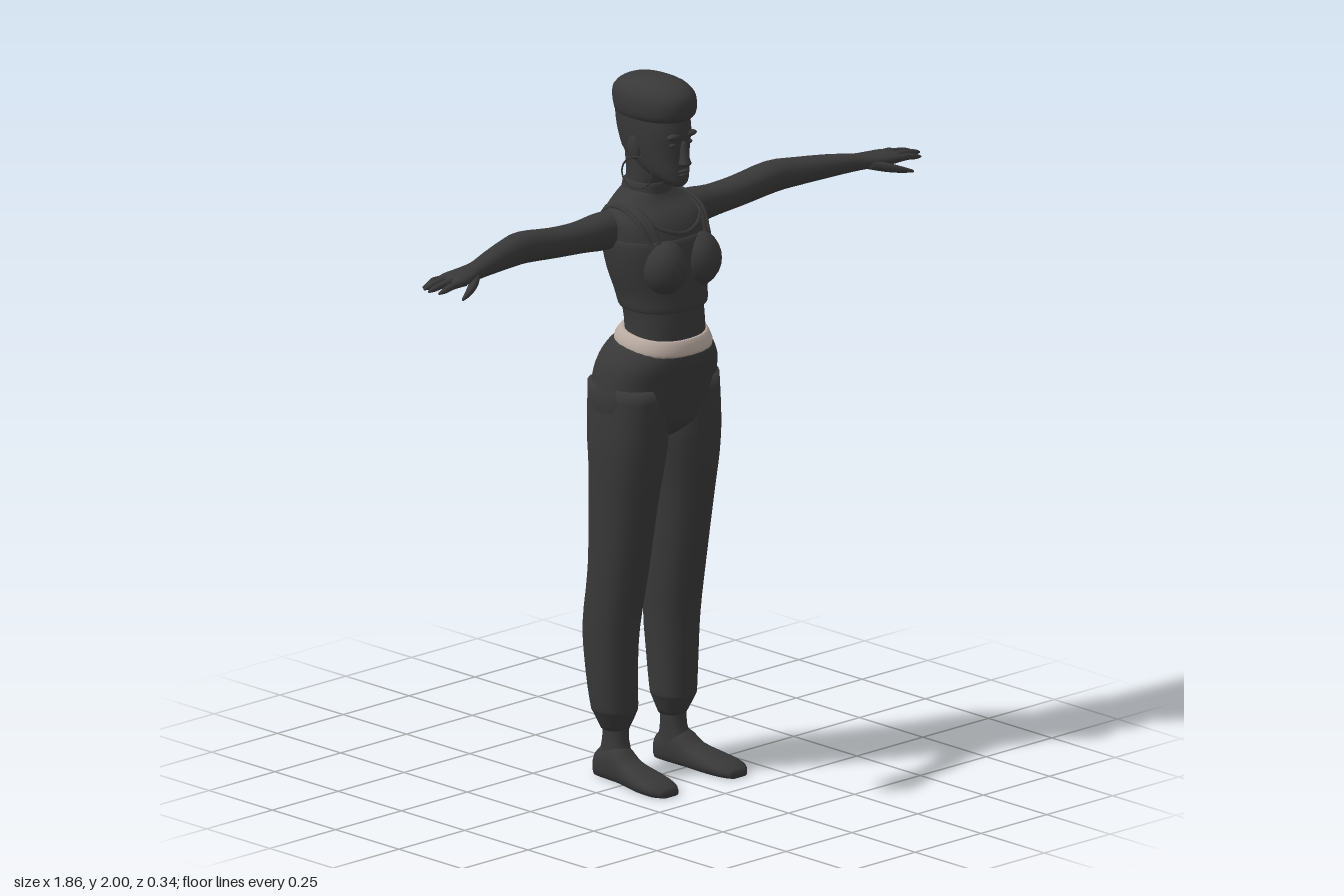
import * as THREE from 'three';

const dark = new THREE.MeshStandardMaterial({ color: 0x383838 });
dark.name = 'charcoal';
const pale = new THREE.MeshStandardMaterial({ color: 0xb9aaa1 });
pale.name = 'pale belt';

const N = 2.3; // roundness of the cross-sections
const sPow = (v) => Math.sign(v) * Math.abs(v) ** (2 / N);

// Smooth in-between rows through the given key rows
function resample(rows, steps) {
  const out = [];
  const at = (i) => rows[Math.min(rows.length - 1, Math.max(0, i))];
  for (let i = 0; i < rows.length - 1; i++) {
    for (let s = 0; s < steps; s++) {
      const t = s / steps;
      out.push(rows[i].map((b, k) => {
        const a = at(i - 1)[k], c = at(i + 1)[k], d = at(i + 2)[k];
        return b + 0.5 * t * (c - a + t * (2 * a - 5 * b + 4 * c - d + t * (3 * (b - c) + d - a)));
      }));
    }
  }
  out.push(rows[rows.length - 1]);
  return out;
}

// Closed skin over rings; ring(row, cos, sin) gives one point
function loft(name, rows, ring, { mat = dark, sides = 20, steps = 3 } = {}) {
  const all = resample(rows, steps), pos = [], idx = [];
  for (const r of all) {
    for (let j = 0; j < sides; j++) {
      const a = (j / sides) * Math.PI * 2;
      pos.push(...ring(r, sPow(Math.cos(a)), sPow(Math.sin(a))));
    }
  }
  const first = pos.length / 3, last = first + 1, end = (all.length - 1) * sides;
  pos.push(...ring(all[0], 0, 0), ...ring(all[all.length - 1], 0, 0));
  for (let j = 0; j < sides; j++) {
    const k = (j + 1) % sides;
    for (let i = 0; i < end; i += sides) {
      idx.push(i + j, i + sides + j, i + k, i + k, i + sides + j, i + sides + k);
    }
    idx.push(first, j, k, last, end + k, end + j);
  }
  // Turn the faces outward whatever the loft direction
  const p = (i) => new THREE.Vector3().fromArray(pos, i * 3);
  let vol = 0;
  for (let i = 0; i < idx.length; i += 3) vol += p(idx[i]).dot(p(idx[i + 1]).cross(p(idx[i + 2])));
  if (vol < 0) idx.reverse();
  const g = new THREE.BufferGeometry();
  g.setAttribute('position', new THREE.Float32BufferAttribute(pos, 3));
  g.setIndex(idx);
  g.computeVertexNormals();
  const m = new THREE.Mesh(g, mat);
  m.name = name;
  return m;
}

// Upright body ring: [y, rx, zFront, zBack, tilt]
const bodyRing = ([y, rx, zf, zb, tilt = 0], c, s) => {
  const z = (zf + zb) / 2 + (s * (zf - zb)) / 2;
  return [rx * c, y - tilt * z, z];
};
// Leg ring: [y, centreX, rx, zFront, zBack]
const legRing = (sx) => ([y, cx, rx, zf, zb], c, s) => [sx * (cx + rx * c), y, (zf + zb) / 2 + (s * (zf - zb)) / 2];
// Arm ring: [x, y, z, ry, rz]
const armRing = (sx) => ([x, y, z, ry, rz], c, s) => [sx * x, y + ry * c, z + rz * s];
// Foot ring: [z, centreX, halfWidth, height]
const footRing = (sx) => ([z, cx, w, h], c, s) => [sx * (cx + w * c), Math.max(0, h * (0.42 + 0.58 * s)), z];

const TORSO = [
  [1.24, 0.118, 0.108, -0.09], [1.3, 0.114, 0.107, -0.086], [1.37, 0.117, 0.1, -0.1],
  [1.45, 0.14, 0.1, -0.13], [1.52, 0.153, 0.1, -0.143], [1.58, 0.155, 0.085, -0.145],
  [1.62, 0.145, 0.06, -0.142], [1.65, 0.105, 0.02, -0.135], [1.68, 0.058, 0, -0.125],
];

// Point on the torso skin, in front (side 1) or behind (side -1)
function onTorso(x, y, side) {
  const i = Math.max(0, TORSO.findIndex((r) => r[0] > y) - 1);
  const t = (y - TORSO[i][0]) / (TORSO[i + 1][0] - TORSO[i][0]);
  const [, rx, zf, zb] = TORSO[i].map((v, k) => v + t * (TORSO[i + 1][k] - v));
  const d = Math.max(0, 1 - Math.abs(x / rx) ** N) ** (1 / N);
  return new THREE.Vector3(x, y, (zf + zb) / 2 + side * ((zf - zb) / 2) * d + side * 0.002);
}

function tube(name, pts, r) {
  const m = new THREE.Mesh(new THREE.TubeGeometry(new THREE.CatmullRomCurve3(pts), 24, r, 6), dark);
  m.name = name;
  return m;
}

function blob(name, x, y, z, rx, ry, rz) {
  const m = new THREE.Mesh(new THREE.SphereGeometry(1, 16, 12), dark);
  m.position.set(x, y, z);
  m.scale.set(rx, ry, rz);
  m.name = name;
  return m;
}

function buildHead() {
  const g = new THREE.Group();
  g.name = 'head';
  g.add(
    loft('neck', [[1.63, 0.062, 0, -0.128], [1.68, 0.056, -0.005, -0.122], [1.72, 0.054, 0.01, -0.118], [1.79, 0.055, 0.01, -0.125]], bodyRing),
    loft('collar', [[1.645, 0.07, 0.01, -0.135], [1.66, 0.066, 0.008, -0.132], [1.695, 0.06, 0.006, -0.126], [1.7, 0.052, 0, -0.12]], bodyRing),
    loft('face', [[1.703, 0.018, 0.078, 0.03], [1.715, 0.035, 0.086, 0.005], [1.74, 0.053, 0.086, -0.06], [1.78, 0.065, 0.083, -0.125],
      [1.82, 0.071, 0.084, -0.145], [1.86, 0.074, 0.088, -0.155], [1.91, 0.074, 0.08, -0.16]], bodyRing, { sides: 24 }),
    loft('hair', [[1.885, 0.072, 0.075, -0.155], [1.9, 0.081, 0.098, -0.161], [1.93, 0.085, 0.106, -0.165], [1.96, 0.081, 0.1, -0.16],
      [1.985, 0.062, 0.07, -0.13], [1.997, 0.035, 0.02, -0.09], [2, 0.01, -0.02, -0.05]], bodyRing, { sides: 24 }),
    loft('nose', [[1.762, 0.008, 0.09, 0.07], [1.77, 0.017, 0.108, 0.07], [1.785, 0.013, 0.105, 0.07], [1.835, 0.008, 0.091, 0.07]], bodyRing, { sides: 10 }),
    blob('upperLip', 0, 1.748, 0.085, 0.02, 0.006, 0.008),
    blob('lowerLip', 0, 1.738, 0.084, 0.017, 0.006, 0.008),
  );
  for (const sx of [1, -1]) {
    g.add(blob('brow', sx * 0.03, 1.85, 0.078, 0.025, 0.009, 0.012));
    g.add(blob('eye', sx * 0.029, 1.825, 0.073, 0.014, 0.007, 0.008));
    const ear = blob('ear', sx * 0.073, 1.805, -0.035, 0.009, 0.034, 0.02);
    ear.rotation.set(-0.15, sx * -0.3, 0);
    g.add(ear);
    const hoop = new THREE.Mesh(new THREE.TorusGeometry(0.045, 0.0025, 6, 28), dark);
    hoop.position.set(sx * 0.077, 1.737, -0.02);
    hoop.rotation.y = sx * 1.2;
    hoop.name = 'earring';
    g.add(hoop);
  }
  return g;
}

function buildArm(sx) {
  const g = new THREE.Group();
  g.name = sx > 0 ? 'leftArm' : 'rightArm';
  g.add(loft('arm', [
    [0.09, 1.575, -0.07, 0.05, 0.055], [0.17, 1.577, -0.068, 0.051, 0.052], [0.25, 1.578, -0.067, 0.043, 0.047],
    [0.35, 1.585, -0.064, 0.041, 0.047], [0.47, 1.599, -0.06, 0.043, 0.046], [0.55, 1.602, -0.04, 0.038, 0.042],
    [0.65, 1.605, -0.006, 0.03, 0.036], [0.72, 1.603, 0.014, 0.023, 0.031], [0.77, 1.602, 0.024, 0.02, 0.04],
    [0.82, 1.602, 0.03, 0.016, 0.046], [0.85, 1.601, 0.031, 0.01, 0.042],
  ], armRing(sx)));
  // Little finger to index finger
  [[-0.004, 0.905], [0.02, 0.925], [0.045, 0.932], [0.068, 0.915]].forEach(([z, tip], i) => {
    const y = 1.604 - Math.abs(i - 1.5) * 0.004;
    g.add(loft('finger', [[0.81, y, z * 0.9 + 0.002, 0.01, 0.01], [0.86, y + 0.002, z, 0.01, 0.01],
      [tip - 0.02, y - 0.004, z + 0.002, 0.008, 0.008], [tip, y - 0.008, z + 0.002, 0.003, 0.003]], armRing(sx), { sides: 8 }));
  });
  g.add(loft('thumb', [[0.74, 1.598, 0.035, 0.014, 0.016], [0.78, 1.588, 0.066, 0.014, 0.016],
    [0.82, 1.577, 0.088, 0.01, 0.011], [0.855, 1.568, 0.102, 0.004, 0.004]], armRing(sx), { sides: 10 }));
  return g;
}

function buildLeg(sx) {
  const g = new THREE.Group();
  g.name = sx > 0 ? 'leftLeg' : 'rightLeg';
  g.add(loft('trouserLeg', [
    [1.14, 0.1, 0.088, 0.085, -0.152], [1, 0.1, 0.098, 0.086, -0.149], [0.9, 0.105, 0.092, 0.076, -0.14],
    [0.8, 0.108, 0.083, 0.06, -0.14], [0.6, 0.11, 0.075, 0.028, -0.145], [0.43, 0.115, 0.07, 0, -0.163],
    [0.3, 0.115, 0.067, -0.008, -0.15], [0.21, 0.112, 0.064, -0.01, -0.134], [0.19, 0.111, 0.058, -0.012, -0.13],
    [0.14, 0.108, 0.035, -0.034, -0.112],
  ], legRing(sx)));
  g.add(loft('ankle', [[0.2, 0.108, 0.032, -0.03, -0.11], [0.11, 0.11, 0.032, -0.03, -0.108], [0.04, 0.115, 0.04, 0, -0.125]], legRing(sx)));
  g.add(loft('foot', [[-0.132, 0.115, 0.022, 0.05], [-0.11, 0.115, 0.038, 0.085], [-0.04, 0.117, 0.042, 0.1], [0.01, 0.121, 0.045, 0.068],
    [0.08, 0.128, 0.054, 0.05], [0.14, 0.132, 0.05, 0.036], [0.17, 0.13, 0.03, 0.02]], footRing(sx)));
  return g;
}

export function createModel() {
  const model = new THREE.Group();
  model.name = 'standingFigure';
  model.add(loft('torso', TORSO, bodyRing, { sides: 28 }));

  // Cropped top: a shell just outside the torso with a hem
  model.add(loft('croppedTop', [[1.355, 0.116, 0.103, -0.098], [1.36, 0.124, 0.113, -0.106], [1.4, 0.13, 0.11, -0.12],
    [1.46, 0.147, 0.107, -0.137], [1.52, 0.158, 0.105, -0.147], [1.555, 0.158, 0.097, -0.148], [1.56, 0.15, 0.088, -0.142]], bodyRing, { sides: 28 }));

  // Neckline trims
  for (const side of [1, -1]) {
    const pts = [-0.1, -0.06, 0, 0.06, 0.1].map((x) => onTorso(x, 1.572 + 4 * x * x, side));
    model.add(tube('neckline', pts, 0.006));
  }
  for (const sx of [1, -1]) {
    model.add(blob('bust', sx * 0.064, 1.485, 0.075, 0.066, 0.078, 0.066));
    for (const x of [0.095, 0.12]) {
      model.add(tube('strap', [
        onTorso(sx * x * 0.9, 1.55, 1), onTorso(sx * x, 1.61, 1), new THREE.Vector3(sx * x, 1.665 - x * 0.2, -0.06),
        onTorso(sx * x, 1.61, -1), onTorso(sx * x * 0.9, 1.55, -1),
      ], 0.008));
    }
    model.add(buildArm(sx), buildLeg(sx));
  }

  // Trousers and belt, both lower at the front
  model.add(loft('trouserHips', [[1.256, 0.134, 0.113, -0.11, 0.12], [1.24, 0.15, 0.12, -0.126, 0.12], [1.2, 0.175, 0.117, -0.153, 0.06],
    [1.15, 0.187, 0.106, -0.166, 0], [1.08, 0.196, 0.093, -0.162, 0], [1.02, 0.17, 0.075, -0.145, 0], [0.98, 0.09, 0.03, -0.1, 0]], bodyRing, { sides: 28 }));
  model.add(loft('belt', [[1.245, 0.138, 0.123, -0.115, 0.12], [1.262, 0.137, 0.123, -0.114, 0.12],
    [1.285, 0.124, 0.115, -0.1, 0.12], [1.287, 0.115, 0.108, -0.09, 0.12]], bodyRing, { mat: pale, sides: 28, steps: 2 }));

  model.add(buildHead());
  return model;
}
